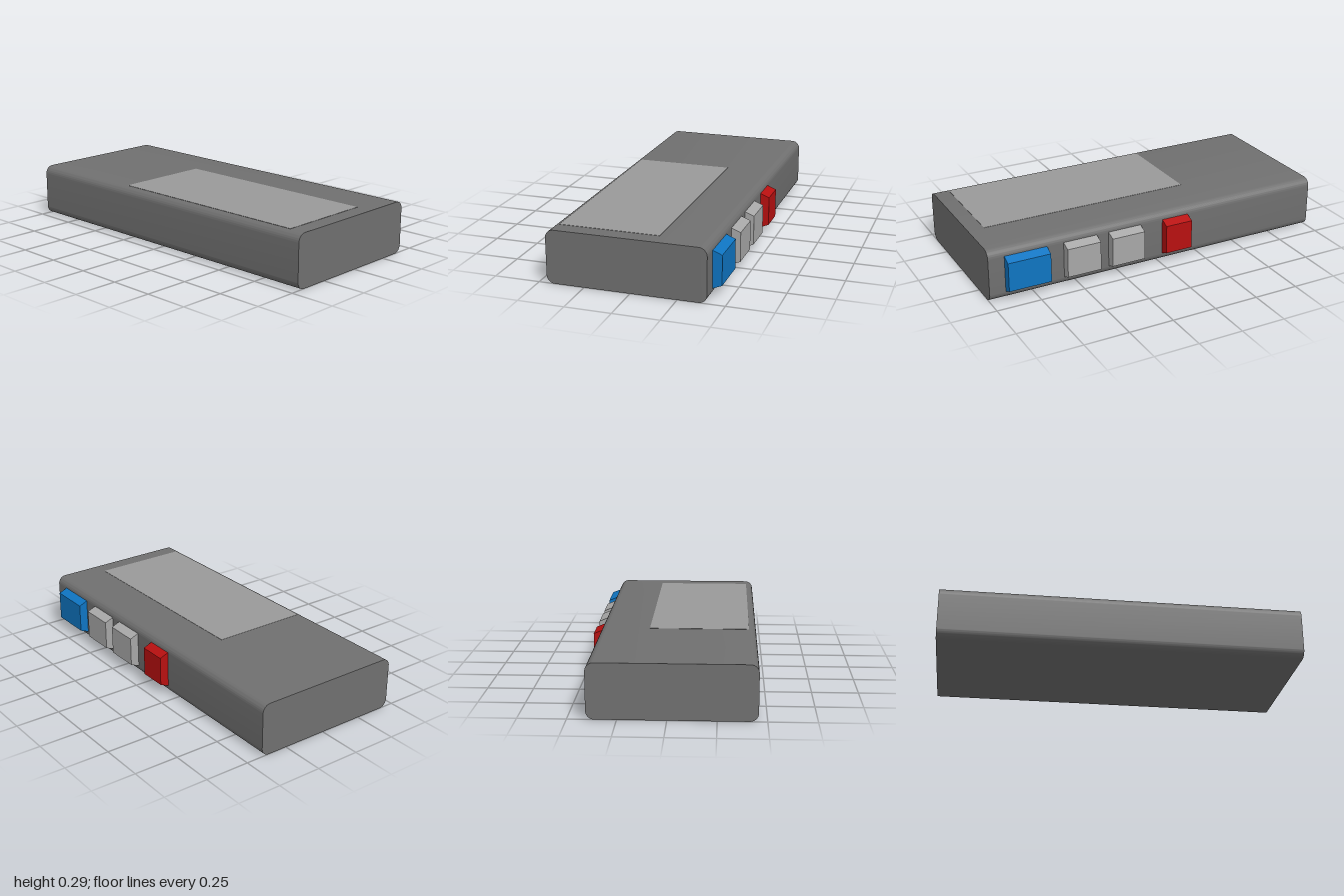
import * as THREE from 'three';
import { toCreasedNormals } from 'three/addons/utils/BufferGeometryUtils.js';

const material = (name, color) => {
  const m = new THREE.MeshStandardMaterial({ color });
  m.name = name;
  return m;
};

// Extrudes a side profile (u = -z, v = y) along x, from x0 to x1
function extrudeAlongX(shape, x0, x1) {
  const g = new THREE.ExtrudeGeometry(shape, { depth: x1 - x0, bevelEnabled: false, curveSegments: 10 });
  g.rotateY(Math.PI / 2);
  g.translate(x0, 0, 0);
  return toCreasedNormals(g, 0.6);
}

// Rounded rectangle side profile
function roundedProfile(u0, u1, v0, v1, r) {
  const s = new THREE.Shape();
  s.absarc(u1 - r, v0 + r, r, -Math.PI / 2, 0);
  s.absarc(u1 - r, v1 - r, r, 0, Math.PI / 2);
  s.absarc(u0 + r, v1 - r, r, Math.PI / 2, Math.PI);
  s.absarc(u0 + r, v0 + r, r, Math.PI, Math.PI * 1.5);
  s.closePath();
  return s;
}

export function createModel() {
  const group = new THREE.Group();
  const darkGrey = material('dark grey casing', 0x707070);
  const lightGrey = material('light grey panel', 0x999999);
  const silver = material('silver button', 0xa8a8a8);
  const blue = material('blue button', 0x0f75c2);
  const red = material('red button', 0xb81010);

  const add = (name, geometry, mat) => {
    const mesh = new THREE.Mesh(geometry, mat);
    mesh.name = name;
    group.add(mesh);
    return mesh;
  };

  // Casing, rounded along its long edges
  add('casing', extrudeAlongX(roundedProfile(-0.456, 0.406, 0, 0.293, 0.045), -1, 1), darkGrey);

  // Label panel on the top face
  add('topPanel', new THREE.BoxGeometry(1.21, 0.004, 0.545), lightGrey).position.set(0.305, 0.2925, 0.1425);

  // Buttons on the back, tapered above and below
  const buttonProfile = new THREE.Shape([
    [0.4, 0.043], [0.456, 0.066], [0.456, 0.229], [0.4, 0.252],
  ].map(([u, v]) => new THREE.Vector2(u, v)));
  const buttons = [
    ['blueButton', 0.67, 0.91, blue],
    ['silverButtonLeft', 0.38, 0.575, silver],
    ['silverButtonRight', 0.115, 0.31, silver],
    ['redButton', -0.18, -0.02, red],
  ];
  for (const [name, x0, x1, mat] of buttons) add(name, extrudeAlongX(buttonProfile, x0, x1), mat);

  return group;
}
